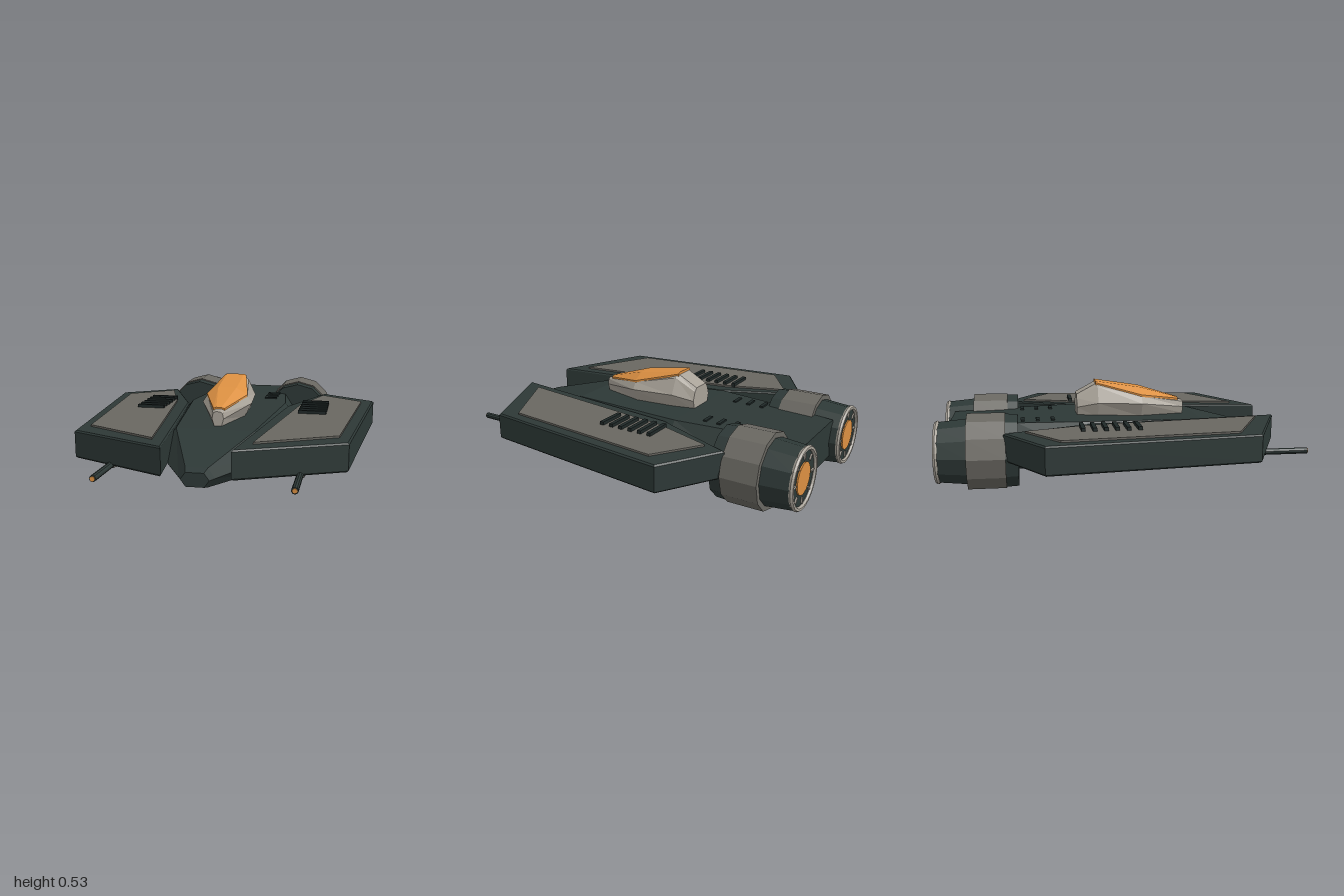
import * as THREE from 'three';
import { RoundedBoxGeometry } from 'three/addons/geometries/RoundedBoxGeometry.js';

const mat = (name, color) => {
  const m = new THREE.MeshStandardMaterial({ color });
  m.name = name;
  m.flatShading = true;
  return m;
};

export function createModel() {
  const model = new THREE.Group();
  model.name = 'spacecraft';
  const hullMat = mat('dark hull', 0x2d3836);
  const panelMat = mat('grey panel', 0x696761);
  const trimMat = mat('light trim', 0xa8a298);
  const orangeMat = mat('orange glass', 0xdc9042);
  const ventMat = mat('dark vent', 0x1f2827);

  const add = (name, geo, material, x = 0, y = 0, z = 0, parent = model) => {
    const mesh = new THREE.Mesh(geo, material);
    mesh.name = name;
    mesh.position.set(x, y, z);
    parent.add(mesh);
    return mesh;
  };

  // Loft through mirrored sections, front to back; each is [z, [x, y] from bottom to top]
  const loft = (sections) => {
    const rings = sections.map(([z, ...half]) => [
      ...half.map(([x, y]) => [x, y, z]),
      ...half.slice().reverse().map(([x, y]) => [-x, y, z]),
    ]);
    const pos = [];
    const tri = (a, b, c) => pos.push(...a, ...b, ...c);
    const n = rings[0].length;
    for (let r = 0; r < rings.length - 1; r++) {
      const A = rings[r], B = rings[r + 1];
      for (let i = 0; i < n; i++) {
        const j = (i + 1) % n;
        tri(A[i], B[i], A[j]);
        tri(A[j], B[i], B[j]);
      }
    }
    const F = rings[0], L = rings[rings.length - 1];
    for (let i = 1; i < n - 1; i++) {
      tri(F[0], F[i], F[i + 1]);
      tri(L[0], L[i + 1], L[i]);
    }
    const geo = new THREE.BufferGeometry();
    geo.setAttribute('position', new THREE.Float32BufferAttribute(pos, 3));
    geo.computeVertexNormals();
    return geo;
  };

  // Horizontal slab from an [x, z] outline, with its top at y = 0
  const slab = (outline, side, depth, bevel) => {
    const shape = new THREE.Shape(outline.map(([x, z]) => new THREE.Vector2(x * side, z)));
    return new THREE.ExtrudeGeometry(shape, {
      depth: depth - 2 * bevel, bevelEnabled: bevel > 0, bevelSize: bevel,
      bevelThickness: bevel, bevelOffset: -bevel, bevelSegments: 1,
    }).rotateX(Math.PI / 2).translate(0, -bevel, 0);
  };

  // Cylinder along z, from its front radius to its back radius
  const barrel = (front, back, length, sides) =>
    new THREE.CylinderGeometry(front, back, length, sides).rotateX(Math.PI / 2);

  // Fuselage
  add('hull', loft([
    [0.92, [0.045, 0.155], [0.07, 0.19], [0.045, 0.225]],
    [0.88, [0.055, 0.145], [0.09, 0.19], [0.055, 0.24]],
    [0.47, [0.2, 0.097], [0.32, 0.2], [0.21, 0.328]],
    [-0.23, [0.28, 0.066], [0.41, 0.2], [0.29, 0.345]],
    [-0.57, [0.25, 0.085], [0.34, 0.2], [0.25, 0.34]],
    [-0.94, [0.19, 0.12], [0.25, 0.2], [0.2, 0.33]],
  ]), hullMat);

  // Cockpit housing and glass
  add('cockpitHousing', loft([
    [0.4, [0.02, 0.33], [0.032, 0.37], [0.025, 0.4], [0.012, 0.408]],
    [0.14, [0.1, 0.33], [0.142, 0.41], [0.115, 0.45], [0.05, 0.485]],
    [-0.11, [0.09, 0.33], [0.122, 0.415], [0.08, 0.505], [0.055, 0.525]],
    [-0.23, [0.07, 0.33], [0.088, 0.39], [0.07, 0.44], [0.052, 0.46]],
  ]), trimMat);
  add('cockpitGlass', loft([
    [0.37, [0.03, 0.395], [0.03, 0.42], [0.014, 0.426]],
    [0.14, [0.117, 0.44], [0.117, 0.458], [0.052, 0.494]],
    [-0.12, [0.065, 0.5], [0.065, 0.526], [0.052, 0.534]],
  ]), orangeMat);

  // Belly hatch
  add('bellyHatch', new RoundedBoxGeometry(0.23, 0.05, 0.34, 2, 0.018), hullMat, 0, 0.055, -0.165);

  const wing = [[0.5, -0.64], [0.82, -0.44], [0.7, 0.66], [0.17, 0.9], [0.305, -0.18]];
  const inlay = [[0.5, -0.53], [0.745, -0.36], [0.65, 0.56], [0.25, 0.77], [0.385, -0.19]];

  for (const side of [1, -1]) {
    const label = side > 0 ? 'left' : 'right';

    // Wing, inlaid panel and louvres
    add(label + 'Wing', slab(wing, side, 0.147, 0.008), hullMat, 0, 0.336, 0);
    add(label + 'WingPanel', slab(inlay, side, 0.012, 0), panelMat, 0, 0.346, 0);
    for (let i = 0; i < 6; i++) {
      add(label + 'WingLouvre', new THREE.BoxGeometry(0.158, 0.025, 0.022), ventMat,
        side * 0.475, 0.351, -0.235 + i * 0.0588);
    }
    for (let i = 0; i < 3; i++) {
      add(label + 'HullVent', new THREE.BoxGeometry(0.076, 0.016, 0.02), ventMat,
        side * 0.18, 0.342, -0.54 + i * 0.083);
    }

    // Gun under the wing
    add(label + 'GunBarrel', barrel(0.017, 0.017, 0.43, 10), hullMat, side * 0.475, 0.19, 0.775);
    add(label + 'GunMount', barrel(0.025, 0.042, 0.19, 8), panelMat, side * 0.475, 0.19, 0.635);
    add(label + 'GunTip', barrel(0.012, 0.012, 0.009, 10), orangeMat, side * 0.475, 0.19, 0.9905);

    // Belly rail
    add(label + 'BellyRail', barrel(0.009, 0.009, 0.21, 8), trimMat, side * 0.125, 0.024, -0.165);
    for (const z of [-0.09, -0.24]) {
      add(label + 'RailStrut', new THREE.BoxGeometry(0.03, 0.016, 0.012), hullMat, side * 0.112, 0.034, z);
    }

    // Engine
    const engine = new THREE.Group();
    engine.name = label + 'Engine';
    engine.position.set(side * 0.33, 0.208, 0);
    model.add(engine);
    add('engineIntake', barrel(0.196, 0.2, 0.08, 12), hullMat, 0, 0, -0.605, engine);
    add('engineBand', barrel(0.206, 0.206, 0.2, 12), panelMat, 0, 0, -0.73, engine);
    add('engineNozzle', barrel(0.178, 0.163, 0.155, 12), hullMat, 0, 0, -0.905, engine);
    add('nozzleRing', new THREE.TorusGeometry(0.155, 0.013, 6, 32), trimMat, 0, 0, -0.986, engine);
    add('engineGlow', barrel(0.085, 0.085, 0.009, 24), orangeMat, 0, 0, -0.985, engine);
    for (let i = 0; i < 8; i++) {
      const a = (i * Math.PI) / 4;
      add('nozzleVane', new THREE.BoxGeometry(0.034, 0.009, 0.012), trimMat,
        Math.cos(a) * 0.118, Math.sin(a) * 0.118, -0.985, engine).rotation.z = a;
    }
  }
  return model;
}
